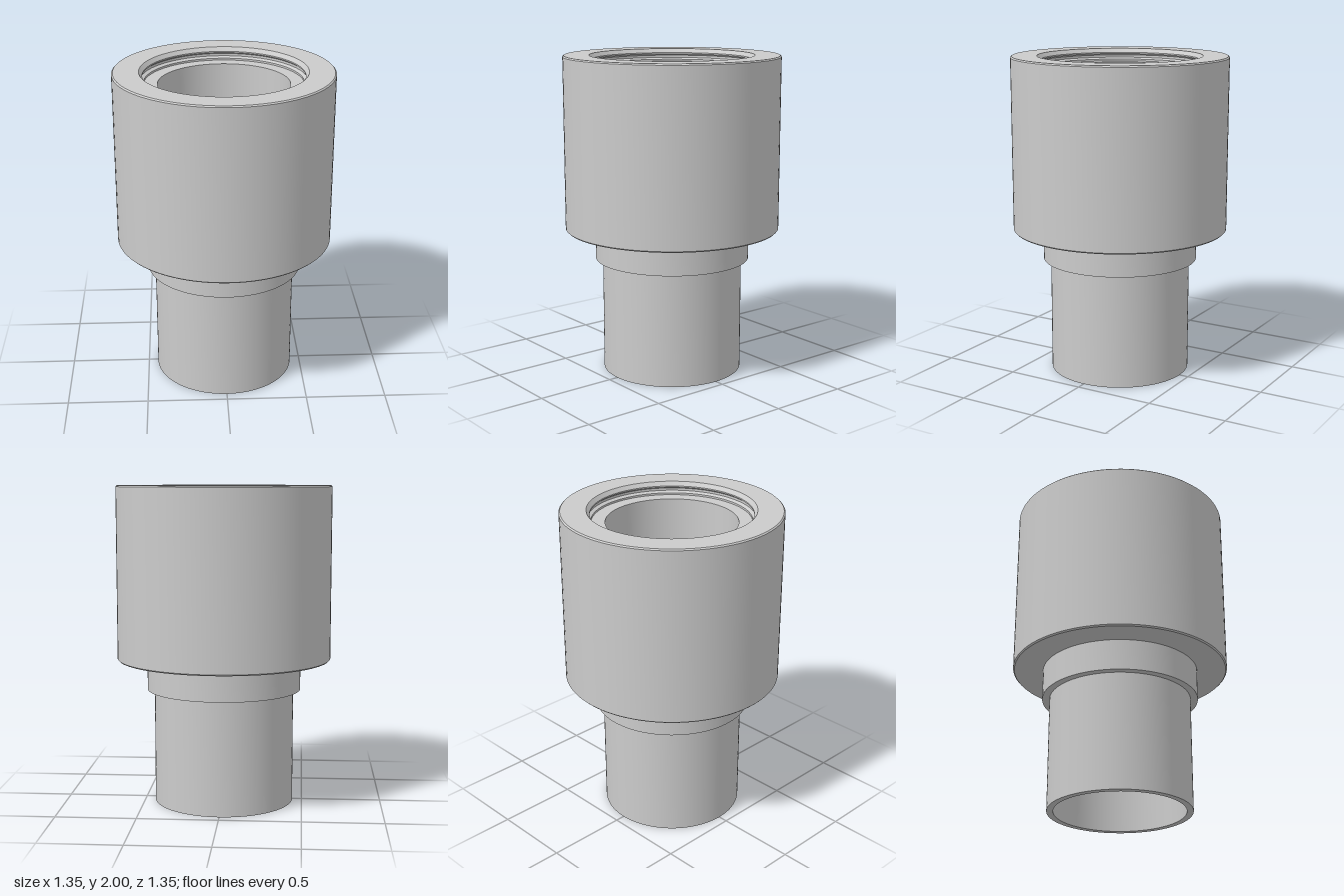
import * as THREE from 'three';
import { toCreasedNormals } from 'three/addons/utils/BufferGeometryUtils.js';

const material = new THREE.MeshStandardMaterial({ color: 0xcccccc });

// Revolve an [radius, height] profile, keeping its corners crisp
function turned(name, profile) {
  const points = profile.map(([r, y]) => new THREE.Vector2(r, y));
  const geometry = toCreasedNormals(new THREE.LatheGeometry(points, 96), 0.4);
  const mesh = new THREE.Mesh(geometry, material);
  mesh.name = name;
  return mesh;
}

export function createModel() {
  const group = new THREE.Group();
  group.name = 'pipeCoupling';

  // Wide sleeve: chamfered outside, chamfered and grooved mouth inside
  group.add(turned('couplingBody', [
    [0.485, 0.912], [0.665, 0.912], [0.673, 0.92], [0.673, 1.992], [0.665, 2],
    [0.51, 2], [0.49, 1.975], [0.49, 1.967], [0.505, 1.957], [0.505, 1.942],
    [0.483, 1.932], [0.483, 1.92],
  ]));

  // Inner tube: seat ledge, through bore, thin spigot and stepped collar
  group.add(turned('spigotTube', [
    [0.483, 1.92], [0.4, 1.92], [0.4, 0], [0.44, 0], [0.44, 0.72],
    [0.485, 0.72], [0.485, 0.912],
  ]));

  return group;
}
